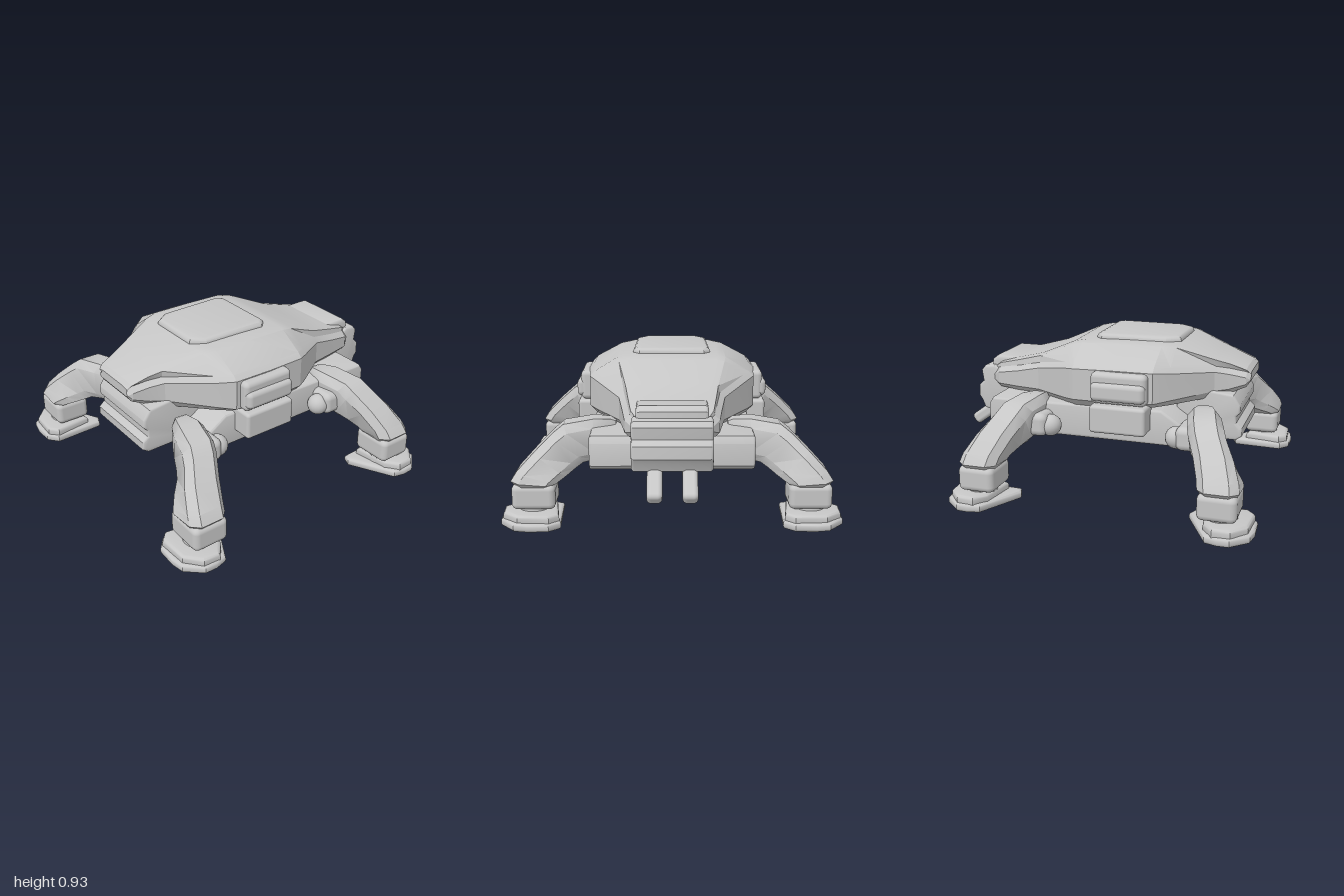
import * as THREE from 'three';
import { toCreasedNormals } from 'three/addons/utils/BufferGeometryUtils.js';
import { RoundedBoxGeometry } from 'three/addons/geometries/RoundedBoxGeometry.js';

export function createModel() {
  const model = new THREE.Group();
  const grey = new THREE.MeshStandardMaterial({ color: 0xc6c6c6 });
  grey.name = 'grey armour';

  function add(name, geometry, parent = model) {
    const mesh = new THREE.Mesh(geometry, grey);
    mesh.name = name;
    parent.add(mesh);
    return mesh;
  }

  // Rounded box given by its extents on each axis
  function box(name, x0, x1, y0, y1, z0, z1, r = 0.02, parent = model) {
    const mesh = add(name, new RoundedBoxGeometry(x1 - x0, y1 - y0, z1 - z0, 3, r), parent);
    mesh.position.set((x0 + x1) / 2, (y0 + y1) / 2, (z0 + z1) / 2);
    return mesh;
  }

  // Skin over rings of equal point count, with closed ends, always facing outward
  function loft(rings, crease = 0.5) {
    const n = rings[0].length, pos = [], idx = [];
    rings.forEach(r => r.forEach(p => pos.push(...p)));
    for (let i = 0; i < rings.length - 1; i++) {
      for (let j = 0; j < n; j++) {
        const a = i * n + j, b = i * n + (j + 1) % n;
        idx.push(a, b, a + n, b, b + n, a + n);
      }
    }
    const last = (rings.length - 1) * n;
    for (let j = 1; j < n - 1; j++) idx.push(0, j + 1, j, last, last + j, last + j + 1);
    let volume = 0;
    const v = k => new THREE.Vector3().fromArray(pos, idx[k] * 3);
    for (let k = 0; k < idx.length; k += 3) volume += v(k).dot(v(k + 1).cross(v(k + 2)));
    if (volume < 0) idx.reverse();
    const g = new THREE.BufferGeometry();
    g.setAttribute('position', new THREE.Float32BufferAttribute(pos, 3));
    g.setIndex(idx);
    return toCreasedNormals(g, crease);
  }

  function extrude(points, depth, bevel) {
    const shape = new THREE.Shape(points.map(p => new THREE.Vector2(...p)));
    return new THREE.ExtrudeGeometry(shape, {
      depth: depth - 2 * bevel, bevelEnabled: true, bevelSize: bevel,
      bevelThickness: bevel, bevelOffset: -bevel, bevelSegments: 3,
    }).translate(0, 0, bevel);
  }

  // Side profile of [z, y] points, widened symmetrically across x
  function profile(name, points, halfWidth, bevel = 0.02) {
    const g = extrude(points, halfWidth * 2, bevel).rotateY(-Math.PI / 2).translate(halfWidth, 0, 0);
    return add(name, toCreasedNormals(g, 0.6));
  }

  // Plan outline of [x, z] points, raised from y0 to y1
  function slab(name, points, y0, y1, bevel, parent = model) {
    const g = extrude(points.map(([x, z]) => [x, -z]), y1 - y0, bevel).rotateX(-Math.PI / 2).translate(0, y0, 0);
    return add(name, toCreasedNormals(g, 0.6), parent);
  }

  // Faceted shell: z, bottom half width and y, side half width, low y, high y, top half width and y
  const shell = [
    [0.84, 0.14, 0.685, 0.16, 0.695, 0.725, 0.14, 0.74],
    [0.815, 0.16, 0.65, 0.18, 0.67, 0.74, 0.15, 0.765],
    [0.72, 0.18, 0.61, 0.205, 0.64, 0.76, 0.17, 0.8],
    [0.64, 0.21, 0.59, 0.24, 0.63, 0.775, 0.2, 0.825],
    [0.42, 0.41, 0.575, 0.455, 0.61, 0.8, 0.28, 0.9],
    [0.34, 0.47, 0.57, 0.52, 0.6, 0.81, 0.31, 0.905],
    [0.1, 0.48, 0.55, 0.525, 0.59, 0.81, 0.31, 0.905],
    [-0.15, 0.46, 0.54, 0.505, 0.585, 0.8, 0.31, 0.9],
    [-0.22, 0.42, 0.54, 0.465, 0.58, 0.79, 0.3, 0.885],
    [-0.45, 0.28, 0.535, 0.31, 0.57, 0.735, 0.25, 0.785],
    [-0.6, 0.26, 0.54, 0.285, 0.57, 0.7, 0.23, 0.745],
    [-0.74, 0.24, 0.55, 0.265, 0.575, 0.675, 0.21, 0.71],
    [-0.79, 0.2, 0.57, 0.225, 0.59, 0.65, 0.18, 0.68],
  ];
  add('shell', loft(shell.map(([z, wb, yb, w, yl, yh, t, yt]) => {
    const half = [[wb, yb], [w, yl], [w, yh - 0.03], [w - 0.03, yh], [t + 0.02, yt - 0.01], [t - 0.03, yt]];
    return [...half.map(([x, y]) => [x, y, z]), ...half.reverse().map(([x, y]) => [-x, y, z])];
  }), 0.35));
  slab('roofPanel', [[-0.2, -0.1], [0.2, -0.1], [0.24, -0.06], [0.23, 0.34], [0.17, 0.42],
    [-0.17, 0.42], [-0.23, 0.34], [-0.24, -0.06]], 0.87, 0.933, 0.03);

  // Chassis and its underside plates
  profile('chassis', [[0.5, 0.34], [0.52, 0.38], [0.5, 0.47], [0.38, 0.55], [-0.69, 0.54],
    [-0.715, 0.5], [-0.715, 0.37], [-0.69, 0.345]], 0.47, 0.015);
  box('bellyPlate', -0.24, 0.24, 0.295, 0.37, -0.28, 0.5, 0.015);
  box('bellyStep', -0.19, 0.19, 0.27, 0.34, -0.16, 0.36, 0.015);
  for (const s of [-1, 1]) box('bellyRail', s * 0.095 - 0.04, s * 0.095 + 0.04, 0.25, 0.32, -0.14, 0.34, 0.015);

  // Front bumper with a horizontal ridge
  profile('bumper', [[0.42, 0.35], [0.78, 0.345], [0.815, 0.37], [0.815, 0.42], [0.78, 0.45],
    [0.78, 0.49], [0.8, 0.51], [0.8, 0.56], [0.76, 0.62], [0.42, 0.66]], 0.263, 0.015);

  // Rear head and its prongs
  profile('headTop', [[-0.61, 0.68], [-0.62, 0.73], [-0.65, 0.738], [-0.78, 0.738], [-0.815, 0.71],
    [-0.825, 0.55], [-0.62, 0.55]], 0.2, 0.02);
  profile('headFace', [[-0.7, 0.62], [-0.79, 0.68], [-0.86, 0.67], [-0.885, 0.64], [-0.875, 0.57],
    [-0.905, 0.54], [-0.91, 0.47], [-0.89, 0.44], [-0.87, 0.39], [-0.8, 0.37], [-0.68, 0.4]], 0.225, 0.018);
  for (const s of [-1, 1]) {
    const prong = add('prong', new RoundedBoxGeometry(0.085, 0.075, 0.24, 3, 0.025));
    prong.position.set(s * 0.097, 0.335, -0.9);
    prong.rotation.x = -0.62;
  }

  // Side packs
  for (const s of [-1, 1]) {
    const side = (name, x0, x1, ...rest) => box(name, Math.min(s * x0, s * x1), Math.max(s * x0, s * x1), ...rest);
    side('upperPack', 0.45, 0.575, 0.59, 0.775, -0.02, 0.315, 0.03);
    side('upperPackCover', 0.48, 0.6, 0.61, 0.72, -0.015, 0.31, 0.03);
    side('lowerPack', 0.43, 0.595, 0.42, 0.585, -0.02, 0.315, 0.02);
  }

  // Leg rings: outer x, y, inner x, y, near z, far z
  const legRings = [
    [0.33, 0.56, 0.33, 0.37, 0.565, 0.655],
    [0.36, 0.575, 0.36, 0.35, 0.55, 0.68],
    [0.46, 0.585, 0.45, 0.34, 0.53, 0.73],
    [0.63, 0.565, 0.52, 0.335, 0.565, 0.775],
    [0.69, 0.52, 0.56, 0.31, 0.585, 0.8],
    [0.79, 0.425, 0.61, 0.28, 0.635, 0.86],
    [0.89, 0.32, 0.655, 0.255, 0.675, 0.905],
    [0.925, 0.265, 0.67, 0.245, 0.685, 0.915],
    [0.9, 0.235, 0.69, 0.235, 0.7, 0.9],
  ];
  // Rounded octagon across a ring, as [across, along] fractions
  const oct = [[0.2, 0], [0.8, 0], [1, 0.2], [1, 0.8], [0.8, 1], [0.2, 1], [0, 0.8], [0, 0.2]];
  const sole = [[0.65, 0.63], [0.7, 0.61], [0.97, 0.75], [0.988, 0.82], [0.985, 0.89],
    [0.9, 0.985], [0.82, 1], [0.7, 0.995], [0.635, 0.94]];
  const instep = [[0.68, 0.7], [0.9, 0.73], [0.975, 0.79], [0.97, 0.89], [0.88, 0.97], [0.7, 0.98], [0.645, 0.93]];

  for (const s of [-1, 1]) {
    for (const rear of [false, true]) {
      const leg = new THREE.Group();
      leg.name = (rear ? 'rear' : 'front') + (s > 0 ? 'Left' : 'Right') + 'Leg';
      model.add(leg);
      const Z = z => (rear ? 0.2 - z : z);
      const legBox = (name, x0, x1, y0, y1, z0, z1, r) => box(name,
        Math.min(s * x0, s * x1), Math.max(s * x0, s * x1), y0, y1,
        Math.min(Z(z0), Z(z1)), Math.max(Z(z0), Z(z1)), r, leg);

      add('limb', loft(legRings.map(([xo, yo, xi, yi, z0, z1]) => oct.map(([u, v]) =>
        [s * (xi + (xo - xi) * u), yi + (yo - yi) * u, Z(z0 + (z1 - z0) * v)])), 0.7), leg);
      legBox('ankle', 0.67, 0.92, 0.1, 0.25, 0.69, 0.91, 0.035);
      const joint = add('ankleJoint', new THREE.CylinderGeometry(0.085, 0.095, 0.08, 20), leg);
      joint.position.set(s * 0.8, 0.09, Z(0.81));
      const place = pts => pts.map(([x, z]) => [s * x, Z(z)]);
      slab('sole', place(sole), 0, 0.05, 0.018, leg);
      slab('instep', place(instep), 0.02, 0.092, 0.02, leg);

      // Hip mount and round knob beside the body
      legBox('hipMount', 0.38, 0.6, 0.36, 0.5, 0.49, 0.62, 0.04);
      const knob = add('hipKnob', new THREE.SphereGeometry(0.065, 20, 14), leg);
      knob.position.set(s * 0.525, 0.42, Z(0.485));
    }
  }
  return model;
}
